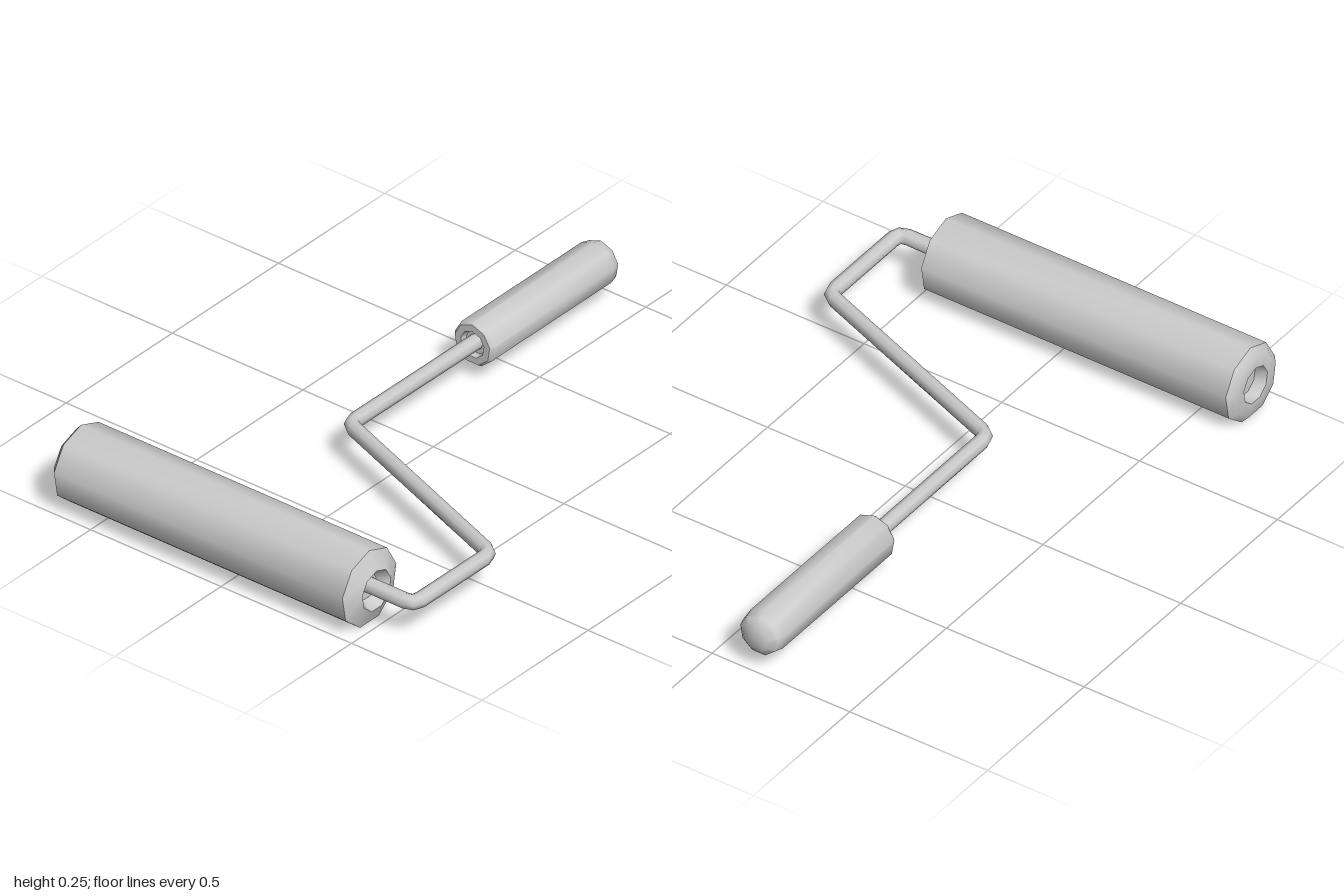
import * as THREE from 'three';
import { toCreasedNormals } from 'three/addons/utils/BufferGeometryUtils.js';

const material = new THREE.MeshStandardMaterial({ color: 0xcccccc });
const SIDES = 9;

// Turned part from [radius, height] pairs, listed from the low end to the high end.
function turned(name, profile, phiStart) {
  const points = profile.map(([r, h]) => new THREE.Vector2(r, h));
  const geometry = toCreasedNormals(new THREE.LatheGeometry(points, SIDES, phiStart), 0.78);
  const mesh = new THREE.Mesh(geometry, material);
  mesh.name = name;
  return mesh;
}

// Bent wire: one ring per listed point, each set square to the bisector of its bend.
class WirePath extends THREE.Curve {
  constructor(points) {
    super();
    this.points = points;
  }
  getPointAt(u, target = new THREE.Vector3()) {
    return target.copy(this.points[Math.round(u * (this.points.length - 1))]);
  }
  getTangentAt(u, target = new THREE.Vector3()) {
    const p = this.points, last = p.length - 1, i = Math.round(u * last);
    const before = p[i].clone().sub(p[Math.max(i - 1, 0)]).normalize();
    const after = p[Math.min(i + 1, last)].clone().sub(p[i]).normalize();
    return target.copy(before).add(after).normalize();
  }
}

// Replace each inner corner by a short three-point bend.
function softenCorners(corners, cut) {
  const out = [corners[0]];
  for (let i = 1; i < corners.length - 1; i++) {
    const c = corners[i];
    const a = c.clone().add(corners[i - 1].clone().sub(c).setLength(cut));
    const b = c.clone().add(corners[i + 1].clone().sub(c).setLength(cut));
    const middle = a.clone().add(b).multiplyScalar(0.25).addScaledVector(c, 0.5);
    out.push(a, middle, b);
  }
  out.push(corners[corners.length - 1]);
  return out;
}

export function createModel() {
  const group = new THREE.Group();
  group.name = 'paintRoller';

  // Roller sleeve along x, with a recess at each end
  const sleeve = turned('rollerSleeve', [
    [0, -0.62], [0.055, -0.62], [0.062, -0.66], [0.105, -0.66], [0.129, -0.64],
    [0.129, 0.465], [0.068, 0.493], [0.045, 0.455], [0, 0.455],
  ], -Math.PI / 2);
  sleeve.rotation.z = -Math.PI / 2;
  sleeve.position.set(0, 0.122, 0.873);
  group.add(sleeve);

  // Wire frame from the sleeve to the grip
  const corners = [
    [0.42, 0.126, 0.868], [0.63, 0.126, 0.868], [0.63, 0.125, 0.505],
    [-0.152, 0.123, 0.21], [-0.152, 0.12, -0.42],
  ].map((p) => new THREE.Vector3(...p));
  const path = new WirePath(softenCorners(corners, 0.032));
  const frame = new THREE.Mesh(
    new THREE.TubeGeometry(path, path.points.length - 1, 0.025, 8, false), material);
  frame.name = 'wireFrame';
  group.add(frame);

  // Grip along z, domed at the back
  const grip = turned('grip', [
    [0, 0.39], [0.04, 0.39], [0.045, 0.37], [0.068, 0.37], [0.076, 0.38],
    [0.076, 0.945], [0.068, 0.975], [0.045, 0.993], [0, 1],
  ], 0);
  grip.rotation.x = -Math.PI / 2;
  grip.position.set(-0.152, 0.118, 0);
  group.add(grip);

  return group;
}
